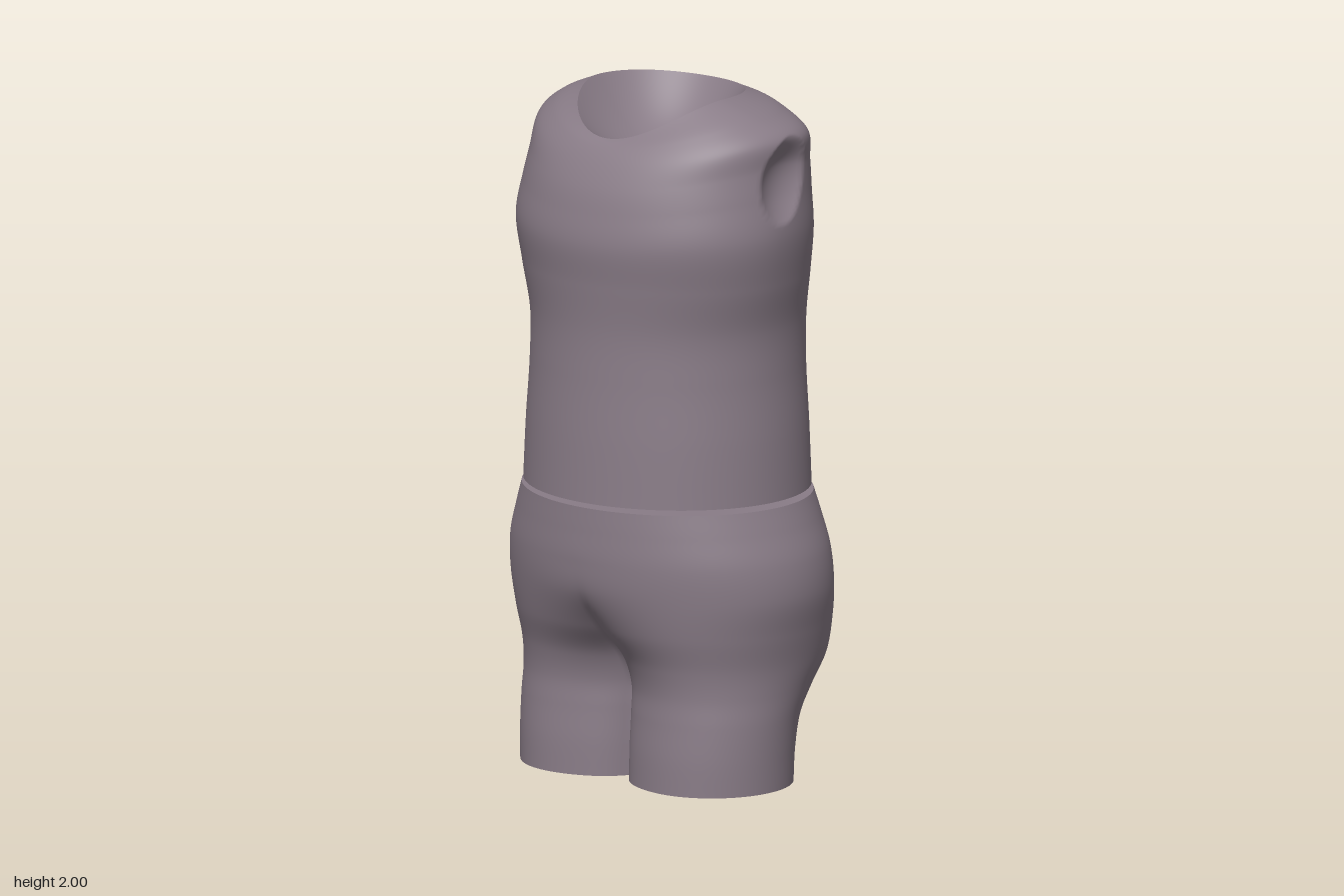
import * as THREE from 'three';

const COLS = 192;

// Lofts a closed tube through rows(j)(i) -> Vector3, with optional flat caps.
function loft(grid, material, name) {
  const pos = [], idx = [];
  for (const row of grid) for (const p of row) pos.push(p.x, p.y, p.z);
  for (let j = 0; j < grid.length - 1; j++) {
    for (let i = 0; i < COLS; i++) {
      const a = j * COLS + i, b = j * COLS + (i + 1) % COLS;
      idx.push(a, a + COLS, b, b, a + COLS, b + COLS);
    }
  }
  return mesh(pos, idx, material, name);
}

// Fan that closes a ring, facing down or up.
function cap(ring, up, cz, material, name) {
  const pos = [0, ring[0].y, cz], idx = [];
  for (const p of ring) pos.push(p.x, p.y, p.z);
  for (let i = 0; i < COLS; i++) {
    const a = i + 1, b = (i + 1) % COLS + 1;
    if (up) idx.push(0, b, a); else idx.push(0, a, b);
  }
  return mesh(pos, idx, material, name);
}

function mesh(pos, idx, material, name) {
  const g = new THREE.BufferGeometry();
  g.setAttribute('position', new THREE.Float32BufferAttribute(pos, 3));
  g.setIndex(idx);
  g.computeVertexNormals();
  const m = new THREE.Mesh(g, material);
  m.name = name;
  return m;
}

// Smooth grid: each column is a spline through the key sections.
function splineGrid(sections, pointAt, rows) {
  const grid = Array.from({ length: rows + 1 }, () => []);
  for (let i = 0; i < COLS; i++) {
    const t = (i / COLS) * Math.PI * 2;
    const curve = new THREE.CatmullRomCurve3(sections.map((s) => pointAt(s, t)));
    for (let j = 0; j <= rows; j++) grid[j].push(curve.getPoint(j / rows));
  }
  return grid;
}

// Torso sections: half width, front z, back z, z of widest point, y at side, front, back
const TORSO = [
  [0.43, 0.405, -0.375, 0.015, 0.845, 0.845, 0.845],
  [0.422, 0.398, -0.37, 0.015, 1.02, 1.02, 1.02],
  [0.41, 0.388, -0.365, 0.015, 1.2, 1.2, 1.2],
  [0.411, 0.385, -0.365, 0.015, 1.34, 1.34, 1.34],
  [0.437, 0.395, -0.368, 0.03, 1.48, 1.48, 1.48],
  [0.455, 0.405, -0.37, 0.04, 1.62, 1.6, 1.58],
  [0.441, 0.39, -0.364, 0.02, 1.74, 1.69, 1.67],
  [0.432, 0.37, -0.353, 0, 1.82, 1.76, 1.76],
  [0.43, 0.335, -0.325, -0.02, 1.9, 1.83, 1.865],
  [0.36, 0.305, -0.265, 0.01, 1.95, 1.87, 1.95],
  [0.24, 0.28, -0.2, 0.04, 2.0, 1.89, 1.985],
];

function torsoPoint([hw, zf, zb, zc, ys, yf, yb], t) {
  const s = Math.sin(t);
  return new THREE.Vector3(
    hw * Math.cos(t),
    ys + ((s > 0 ? yf : yb) - ys) * s * s,
    zc + (s > 0 ? zf - zc : zc - zb) * s
  );
}

// Shallow oval arm sockets pressed into both sides.
function pressArmSocket(p) {
  if (Math.abs(p.x) < 0.3) return;
  const dy = p.y - 1.785, dz = p.z + 0.01 + dy * 0.25;
  const q = (dy / 0.125) ** 2 + (dz / 0.095) ** 2;
  if (q < 1) p.x -= Math.sign(p.x) * 0.04 * (1 - q);
}

// Hip sections: y, half width, front z, back z, how far the legs separate
const HIPS = [
  [0, 0.445, 0.29, -0.17, 1],
  [0.1, 0.448, 0.288, -0.175, 1],
  [0.2, 0.452, 0.282, -0.198, 0.97],
  [0.28, 0.457, 0.282, -0.258, 0.88],
  [0.36, 0.468, 0.305, -0.335, 0.66],
  [0.46, 0.488, 0.358, -0.385, 0.28],
  [0.57, 0.507, 0.393, -0.404, 0.03],
  [0.67, 0.498, 0.405, -0.401, 0],
  [0.76, 0.467, 0.405, -0.388, 0],
  [0.83, 0.44, 0.403, -0.375, 0],
];

function hipPoint([y, hw, zf, zb, split], t) {
  const c = Math.cos(t), X = Math.abs(c), s = Math.sin(t);
  // Blend an oval with a two-lobed outline for the legs
  const lobes = Math.sqrt(Math.max(0, 4 * X * (1 - X)) + 0.2 * Math.exp(-((X / 0.25) ** 2)));
  const depth = Math.abs(s) * (1 - split) + lobes * split;
  const zc = (zf + zb) / 2;
  return new THREE.Vector3(hw * c, y, zc + Math.sign(s) * depth * (zf - zc));
}

export function createModel() {
  const model = new THREE.Group();
  model.name = 'torsoModel';
  const skin = new THREE.MeshStandardMaterial({ color: 0x897c87 });
  skin.name = 'mauve grey';

  // Upper body
  const upper = new THREE.Group();
  upper.name = 'upperBody';
  const torso = splineGrid(TORSO, torsoPoint, 150);
  torso.forEach((row) => row.forEach(pressArmSocket));
  upper.add(loft(torso, skin, 'torso'));
  upper.add(cap(torso[0], false, 0.015, skin, 'torsoUnderside'));

  // Bowl-shaped neck socket, from the rim to its centre
  const rim = torso[torso.length - 1], bowl = [];
  for (let j = 0; j <= 20; j++) {
    const s = 1 - j / 20;
    bowl.push(rim.map((p) => new THREE.Vector3(
      p.x * s, 1.82 + (p.y - 1.82) * s ** 2.2, 0.04 + (p.z - 0.04) * s)));
  }
  upper.add(loft(bowl, skin, 'neckSocket'));

  // Lower body
  const lower = new THREE.Group();
  lower.name = 'lowerBody';
  const hips = splineGrid(HIPS, hipPoint, 90);
  lower.add(loft(hips, skin, 'hipsAndThighs'));
  lower.add(cap(hips[0], false, 0.06, skin, 'legUnderside'));
  lower.add(cap(hips[hips.length - 1], true, 0.014, skin, 'waistTop'));

  model.add(upper, lower);
  return model;
}
